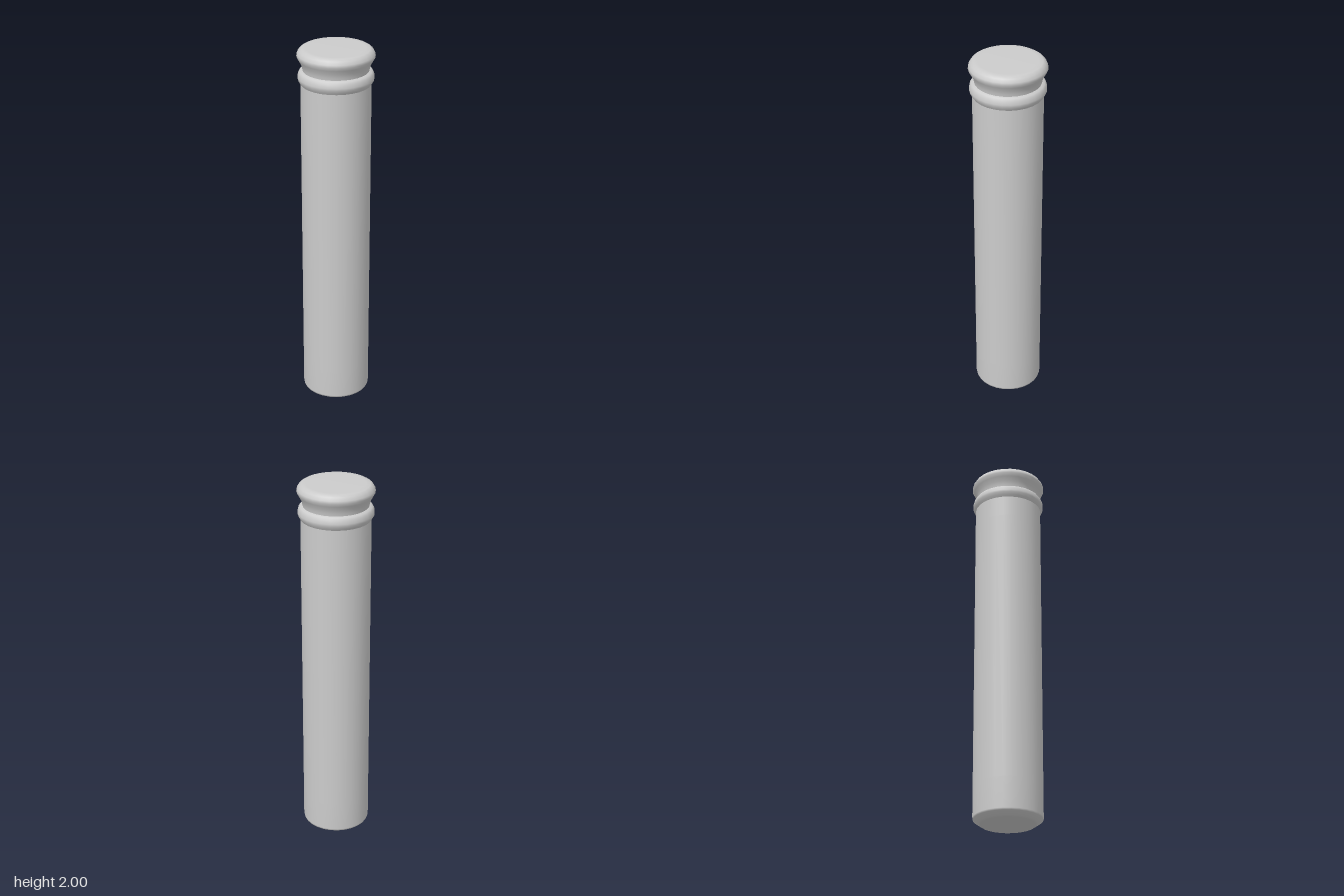
import * as THREE from 'three';

const SIDES = 28;

export function createModel() {
  const group = new THREE.Group();
  group.name = 'turnedPost';
  const material = new THREE.MeshStandardMaterial({ color: 0xcccccc });

  // Turns a profile of [radius, height] points, listed bottom to top
  const turn = (name, profile) => {
    const points = profile.map(([r, y]) => new THREE.Vector2(r, y));
    const mesh = new THREE.Mesh(new THREE.LatheGeometry(points, SIDES), material);
    mesh.name = name;
    group.add(mesh);
  };

  // Long shaft with a chamfered foot
  turn('shaft', [
    [0, 0], [0.14, 0], [0.152, 0.008], [0.178, 0.026], [0.181, 0.036],
    [0.181, 0.2], [0.181, 1.7], [0.181, 1.815],
  ]);

  // Rounded collar ring closing in to the neck
  turn('collarRing', [
    [0.181, 1.815], [0.188, 1.826], [0.195, 1.84], [0.196, 1.852],
    [0.192, 1.87], [0.184, 1.882], [0.17, 1.886],
  ]);

  // Flared cap rising from the neck to a flat top with a soft rim
  turn('cap', [
    [0.17, 1.886], [0.172, 1.9], [0.178, 1.92], [0.19, 1.942], [0.2, 1.96],
    [0.198, 1.974], [0.188, 1.99], [0.174, 1.999], [0.15, 2], [0, 2],
  ]);

  return group;
}
